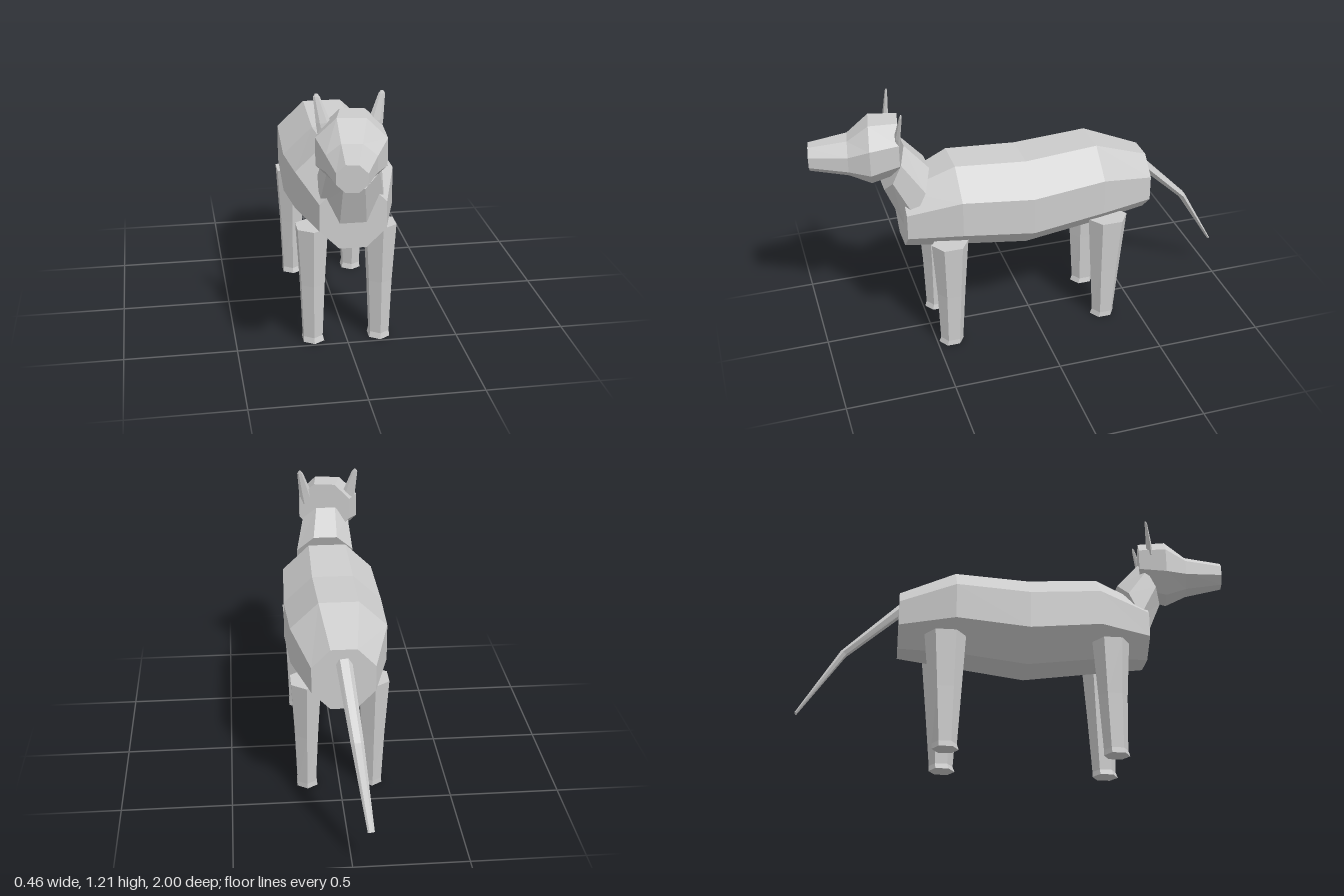
import * as THREE from 'three';

const coat = new THREE.MeshStandardMaterial({ color: 0xcccccc, flatShading: true });
coat.name = 'grey coat';

// Closed loft through rings [x, y, z, radiusU, radiusV] lying across direction d
function loft(name, rings, d, up, sides, phase) {
  const dir = new THREE.Vector3(...d).normalize();
  const u = new THREE.Vector3(...up).cross(dir).normalize();
  const v = dir.clone().cross(u);
  const pts = rings.map(([x, y, z, ru, rv]) => Array.from({ length: sides }, (_, i) => {
    const a = phase + (i / sides) * Math.PI * 2;
    return new THREE.Vector3(x, y, z)
      .addScaledVector(u, Math.cos(a) * ru)
      .addScaledVector(v, Math.sin(a) * rv);
  }));
  const pos = [];
  const tri = (...p) => p.forEach((q) => pos.push(q.x, q.y, q.z));
  for (let r = 0; r < pts.length - 1; r++) {
    for (let i = 0; i < sides; i++) {
      const j = (i + 1) % sides;
      tri(pts[r][i], pts[r][j], pts[r + 1][j]);
      tri(pts[r][i], pts[r + 1][j], pts[r + 1][i]);
    }
  }
  const first = pts[0], last = pts[pts.length - 1];
  for (let i = 1; i < sides - 1; i++) {
    tri(first[0], first[i + 1], first[i]);
    tri(last[0], last[i], last[i + 1]);
  }
  const geo = new THREE.BufferGeometry();
  geo.setAttribute('position', new THREE.Float32BufferAttribute(pos, 3));
  geo.computeVertexNormals();
  const mesh = new THREE.Mesh(geo, coat);
  mesh.name = name;
  return mesh;
}

// Octagonal loft with flat top; radii are measured to the flats
function octLoft(name, rings, d) {
  const k = 1 / Math.cos(Math.PI / 8);
  const scaled = rings.map(([x, y, z, a, b]) => [x, y, z, a * k, b * k]);
  return loft(name, scaled, d, [0, 1, 0], 8, Math.PI / 8);
}

export function createModel() {
  const model = new THREE.Group();
  model.name = 'animal';

  // Trunk, back to front
  model.add(octLoft('body', [
    [0, 0.658, -0.56, 0.14, 0.143],
    [0, 0.698, -0.30, 0.217, 0.205],
    [0, 0.665, 0.04, 0.23, 0.215],
    [0, 0.70, 0.37, 0.217, 0.205],
    [0, 0.66, 0.61, 0.145, 0.145],
  ], [0, 0, 1]));

  // Neck, leaning forward into the head
  model.add(octLoft('neck', [
    [0, 0.765, 0.545, 0.14, 0.15],
    [-0.01, 0.915, 0.635, 0.113, 0.115],
  ], [0, 0.43, 0.9]));

  // Head, turned slightly to its right
  model.add(octLoft('head', [
    [-0.005, 1.013, 0.60, 0.125, 0.123],
    [-0.03, 0.992, 0.725, 0.147, 0.142],
    [-0.045, 0.973, 0.82, 0.104, 0.085],
    [-0.073, 0.973, 0.99, 0.063, 0.057],
  ], [-0.17, 0, 0.985]));

  // Flattened ears
  for (const [name, s] of [['leftEar', 1], ['rightEar', -1]]) {
    const cx = -0.021;
    const dz = -s * 0.004;
    model.add(loft(name, [
      [cx + s * 0.095, 1.03, 0.63 + dz, 0.038, 0.013],
      [cx + s * 0.11, 1.09, 0.625 + dz, 0.031, 0.012],
      [cx + s * 0.136, 1.197, 0.61 + dz, 0.014, 0.005],
      [cx + s * 0.137, 1.209, 0.608 + dz, 0.005, 0.003],
    ], [0, 1, 0], [0, 0, 1], 6, 0));
  }

  // Six-sided legs with small flared feet
  for (const [side, s] of [['Left', 1], ['Right', -1]]) {
    for (const [name, top, mid, foot, r] of [
      ['front', 0.42, 0.422, 0.427, 0.086],
      ['back', -0.345, -0.34, -0.336, 0.095],
    ]) {
      model.add(loft(name + side + 'Leg', [
        [s * 0.15, 0, foot + 0.004, 0.054, 0.06],
        [s * 0.152, 0.025, foot, 0.049, 0.055],
        [s * 0.152, 0.28, mid, 0.06, r * 0.78],
        [s * 0.153, 0.55, top, 0.077, r],
      ], [0, 1, 0], [0, 0, 1], 6, Math.PI / 6));
    }
  }

  // Hanging tail, bending to one side
  model.add(loft('tail', [
    [0, 0.745, -0.545, 0.036, 0.026],
    [-0.035, 0.485, -0.805, 0.028, 0.017],
    [-0.077, 0.168, -0.995, 0.015, 0.006],
  ], [-0.08, -0.57, -0.44], [0, 1, -1], 6, 0));

  return model;
}
